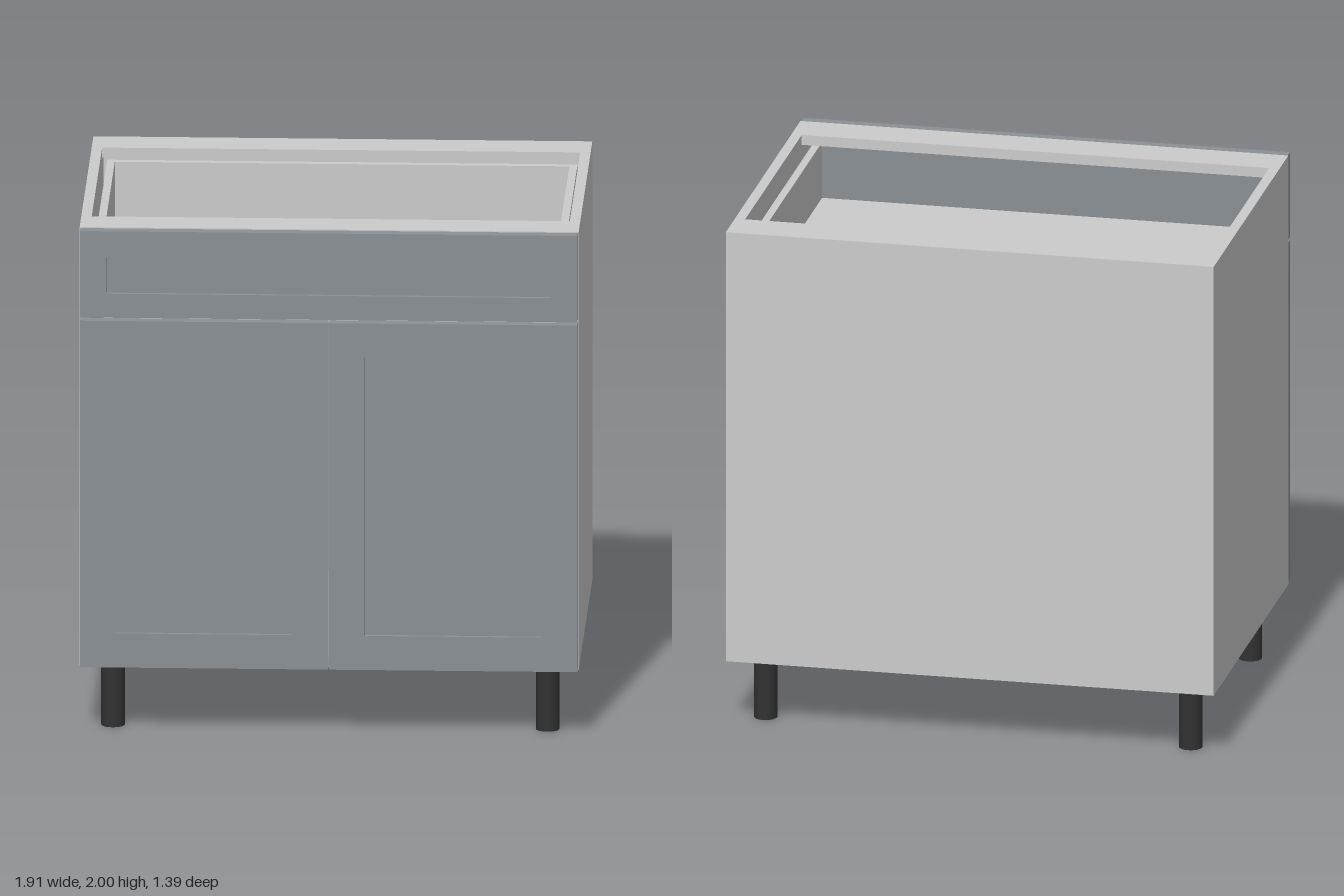
import * as THREE from 'three';

const grey = new THREE.MeshStandardMaterial({ color: 0xcccccc });
const paint = new THREE.MeshStandardMaterial({ color: 0x8a9094 });
const black = new THREE.MeshStandardMaterial({ color: 0x323232 });

// Box given by its lower and upper limits on each axis
function board(name, [x0, x1], [y0, y1], [z0, z1], material = grey) {
  const mesh = new THREE.Mesh(new THREE.BoxGeometry(x1 - x0, y1 - y0, z1 - z0), material);
  mesh.position.set((x0 + x1) / 2, (y0 + y1) / 2, (z0 + z1) / 2);
  mesh.name = name;
  return mesh;
}

function rectangle(path, [x0, x1], [y0, y1]) {
  path.moveTo(x0, y0).lineTo(x1, y0).lineTo(x1, y1).lineTo(x0, y1).closePath();
  return path;
}

// Framed front with a recessed centre panel
function framedFront(name, xs, ys, panelXs, panelYs) {
  const front = new THREE.Group();
  front.name = name;
  const shape = rectangle(new THREE.Shape(), xs, ys);
  shape.holes.push(rectangle(new THREE.Path(), panelXs, panelYs));
  const geometry = new THREE.ExtrudeGeometry(shape, { depth: 0.045, bevelEnabled: false });
  const frame = new THREE.Mesh(geometry, paint);
  frame.position.z = 0.648;
  frame.name = name + 'Frame';
  front.add(frame, board(name + 'Panel', panelXs, panelYs, [0.648, 0.676], paint));
  return front;
}

export function createModel() {
  const model = new THREE.Group();
  model.name = 'baseCabinet';

  // Carcass
  const carcass = new THREE.Group();
  carcass.name = 'carcass';
  carcass.add(
    board('leftSide', [0.915, 0.955], [0.265, 2], [-0.695, 0.645]),
    board('rightSide', [-0.955, -0.915], [0.265, 2], [-0.655, 0.645]),
    board('backPanel', [-0.955, 0.915], [0.265, 2], [-0.695, -0.655]),
    board('bottomPanel', [-0.915, 0.915], [0.265, 0.305], [-0.655, 0.645]),
    board('backRail', [-0.915, 0.915], [1.96, 2], [-0.655, -0.53]),
    board('frontRail', [-0.915, 0.915], [1.96, 2], [0.485, 0.645])
  );
  model.add(carcass);

  // Drawer box under the open top
  const drawer = new THREE.Group();
  drawer.name = 'drawer';
  drawer.add(
    board('drawerBottom', [-0.87, 0.87], [1.67, 1.695], [-0.62, 0.645]),
    board('drawerBack', [-0.87, 0.87], [1.67, 1.92], [-0.65, -0.62]),
    board('drawerLeftSide', [0.87, 0.9], [1.67, 1.92], [-0.65, 0.645]),
    board('drawerRightSide', [-0.9, -0.87], [1.67, 1.92], [-0.65, 0.645]),
    framedFront('drawerFront', [-0.952, 0.952], [1.655, 1.997], [-0.85, 0.85], [1.75, 1.895])
  );
  model.add(drawer);

  // Pair of doors
  const doorYs = [0.27, 1.642], panelYs = [0.405, 1.505];
  model.add(
    framedFront('leftDoor', [0.002, 0.952], doorYs, [0.138, 0.816], panelYs),
    framedFront('rightDoor', [-0.952, -0.002], doorYs, [-0.816, -0.138], panelYs)
  );

  // Legs
  const legGeometry = new THREE.CylinderGeometry(0.045, 0.045, 0.265, 32);
  for (const x of [-0.832, 0.832]) {
    for (const z of [-0.543, 0.525]) {
      const leg = new THREE.Mesh(legGeometry, black);
      leg.position.set(x, 0.1325, z);
      leg.name = (z > 0 ? 'front' : 'back') + (x > 0 ? 'Left' : 'Right') + 'Leg';
      model.add(leg);
    }
  }
  return model;
}
